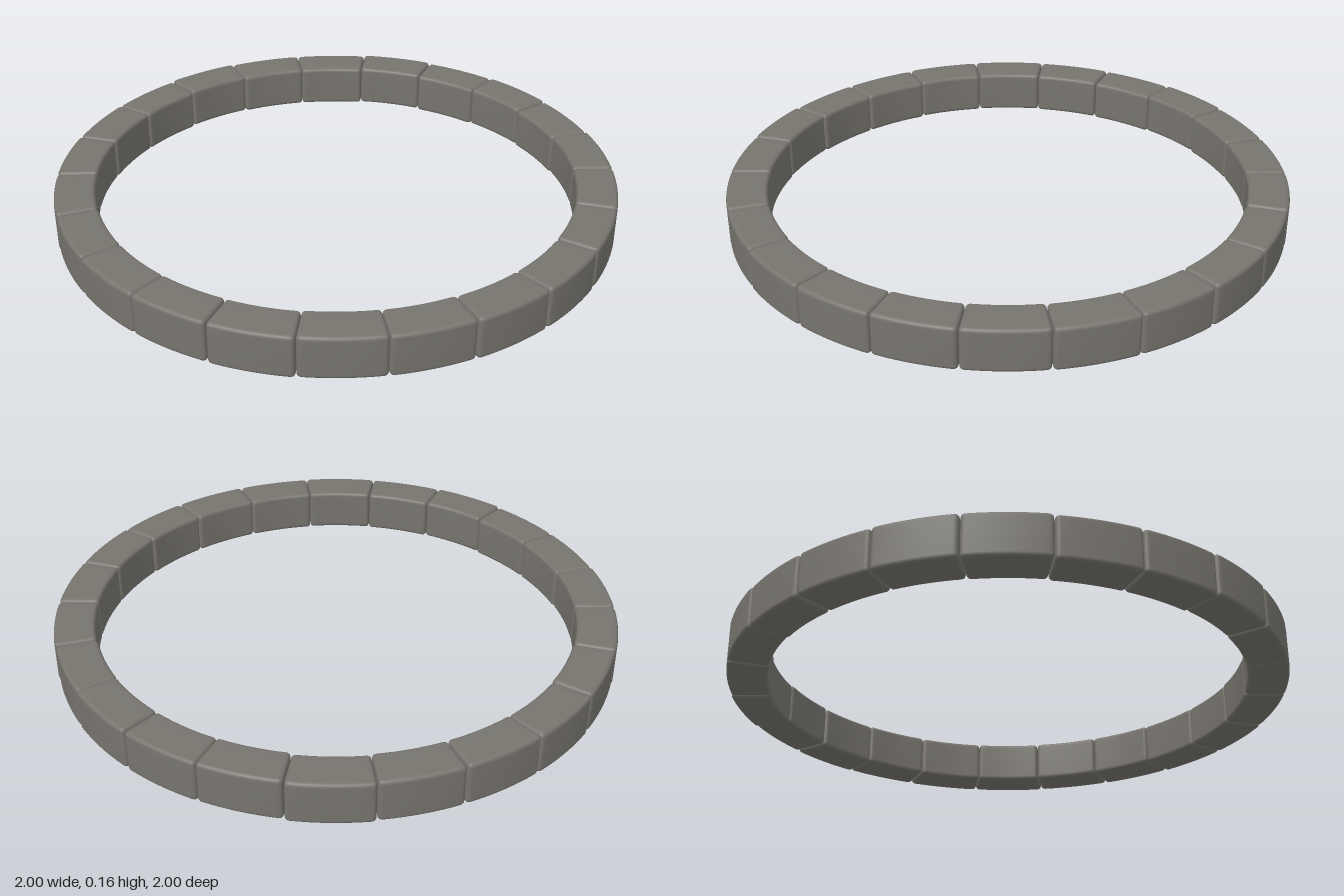
import * as THREE from 'three';
import { mergeVertices } from 'three/addons/utils/BufferGeometryUtils.js';

const STONES = 22;
const OUTER = 1, INNER = 0.855, HEIGHT = 0.155;
const MID = (OUTER + INNER) / 2;
const BEVEL = 0.015;

// Small repeatable variation in the range -1..1
function makeRandom(seed) {
  let s = seed;
  return () => {
    s = (s * 16807) % 2147483647;
    return (s / 2147483647) * 2 - 1;
  };
}

// Grid lines across one side: fine over the bevels, even between them
function gridLines(half, inner) {
  const flat = half - BEVEL;
  const lines = [-half, -half + BEVEL * 0.3, -half + BEVEL * 0.6, -flat];
  for (let i = 1; i < inner; i++) lines.push(-flat + (2 * flat * i) / inner);
  lines.push(flat, half - BEVEL * 0.6, half - BEVEL * 0.3, half);
  return lines;
}

// A rounded block bent along the ring: x is radial, y up, z along the arc
function stoneGeometry() {
  const half = [(OUTER - INNER) / 2, HEIGHT / 2, (Math.PI / STONES) * MID - 0.0008];
  const lines = [gridLines(half[0], 2), gridLines(half[1], 2), gridLines(half[2], 8)];
  const counts = lines.map((l) => l.length - 1);
  let geometry = new THREE.BoxGeometry(1, 1, 1, ...counts);
  geometry.deleteAttribute('uv');
  geometry.deleteAttribute('normal');
  geometry = mergeVertices(geometry, 1e-5);

  const pos = geometry.attributes.position;
  const point = new THREE.Vector3();
  const core = new THREE.Vector3();
  const limit = new THREE.Vector3(...half).subScalar(BEVEL);
  const low = limit.clone().negate();
  for (let i = 0; i < pos.count; i++) {
    const p = [pos.getX(i), pos.getY(i), pos.getZ(i)]
      .map((v, a) => lines[a][Math.round((v + 0.5) * counts[a])]);
    // Round the edges
    point.fromArray(p);
    core.copy(point).clamp(low, limit);
    point.sub(core).setLength(BEVEL).add(core);
    // Bend around the centre of the ring
    const angle = point.z / MID;
    const radius = MID + point.x;
    pos.setXYZ(i, radius * Math.cos(angle), point.y, radius * Math.sin(angle));
  }
  geometry.computeVertexNormals();
  return geometry;
}

export function createModel() {
  const model = new THREE.Group();
  model.name = 'stoneRing';
  const stoneGrey = new THREE.MeshStandardMaterial({ color: 0x77746e });
  stoneGrey.name = 'stoneGrey';

  const geometry = stoneGeometry();
  const random = makeRandom(41);

  // Kerb stones set end to end, each a touch uneven
  for (let i = 0; i < STONES; i++) {
    const angle = ((i + 0.5) / STONES) * Math.PI * 2;
    const stone = new THREE.Mesh(geometry, stoneGrey);
    stone.name = `stone${i + 1}`;
    const shift = random() * 0.002;
    stone.position.set(
      Math.cos(angle) * shift,
      HEIGHT / 2 + 0.0025 + random() * 0.0025,
      Math.sin(angle) * shift
    );
    stone.rotation.y = -angle;
    model.add(stone);
  }
  return model;
}
